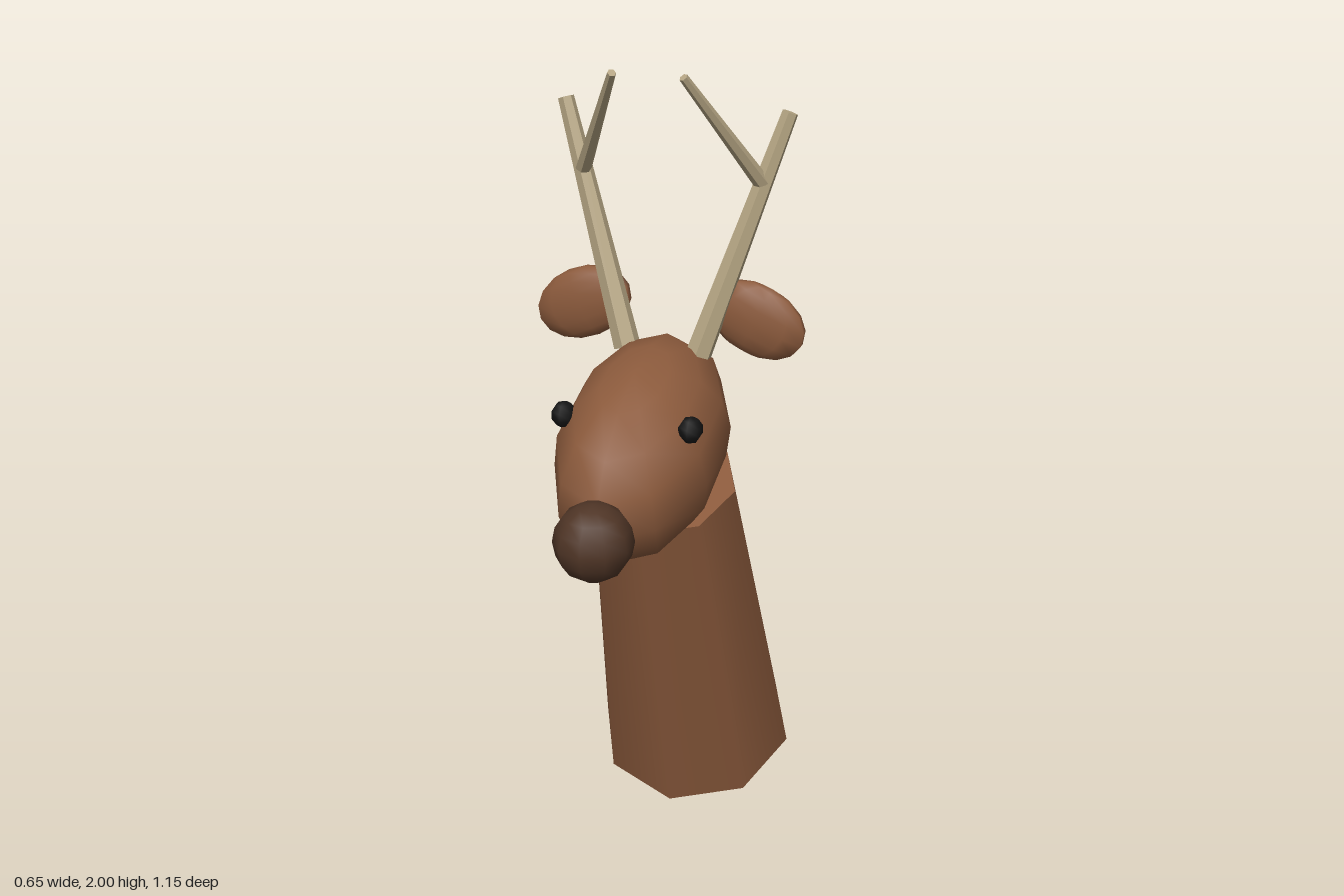
import * as THREE from 'three';

const mat = (color, flatShading = false) => new THREE.MeshStandardMaterial({ color, flatShading });
const hide = mat(0x8b5a3c);
const noseMat = mat(0x4f3526);
const eyeMat = mat(0x151515);
const hornMat = mat(0xb5a583, true);

export function createModel() {
  const model = new THREE.Group();

  const add = (name, geometry, material) => {
    const mesh = new THREE.Mesh(geometry, material);
    mesh.name = name;
    model.add(mesh);
    return mesh;
  };

  // Low-poly ellipsoid with a column of vertices facing front and back
  const ellipsoid = (name, material, center, radii, segments = 10, rows = 8) => {
    const geometry = new THREE.SphereGeometry(1, segments, rows);
    geometry.rotateY(Math.PI / 2).scale(...radii);
    const mesh = add(name, geometry, material);
    mesh.position.set(...center);
    return mesh;
  };

  // Tapered rod between two points
  const rod = (name, material, from, to, r0, r1, sides) => {
    const a = new THREE.Vector3(...from);
    const b = new THREE.Vector3(...to);
    const dir = b.clone().sub(a);
    const mesh = add(name, new THREE.CylinderGeometry(r1, r0, dir.length(), sides), material);
    mesh.position.copy(a).add(b).multiplyScalar(0.5);
    mesh.quaternion.setFromUnitVectors(new THREE.Vector3(0, 1, 0), dir.normalize());
    return mesh;
  };

  // Neck leaning forward, with an open gap behind the head
  rod('neck', hide, [0, 0.093, -0.323], [0, 0.995, -0.005], 0.264, 0.184, 8);

  // Head, muzzle end tipped down
  ellipsoid('head', hide, [0, 1.152, 0.14], [0.192, 0.212, 0.335]).rotation.x = 0.29;
  ellipsoid('nose', noseMat, [0, 1.072, 0.485], [0.09, 0.09, 0.09]);

  // Paired features
  for (const [side, s] of [['left', 1], ['right', -1]]) {
    ellipsoid(side + 'Eye', eyeMat, [s * 0.149, 1.26, 0.258], [0.029, 0.031, 0.031], 6, 5);
    ellipsoid(side + 'Ear', hide, [s * 0.212, 1.415, -0.06], [0.127, 0.086, 0.036]).rotation.z = -s * 0.44;
    rod(side + 'AntlerBeam', hornMat, [s * 0.088, 1.335, -0.009], [s * 0.265, 1.89, -0.108], 0.032, 0.019, 6);
    rod(side + 'AntlerTine', hornMat, [s * 0.213, 1.735, -0.075], [s * 0.08, 1.995, 0.1], 0.019, 0.01, 6);
  }

  return model;
}
